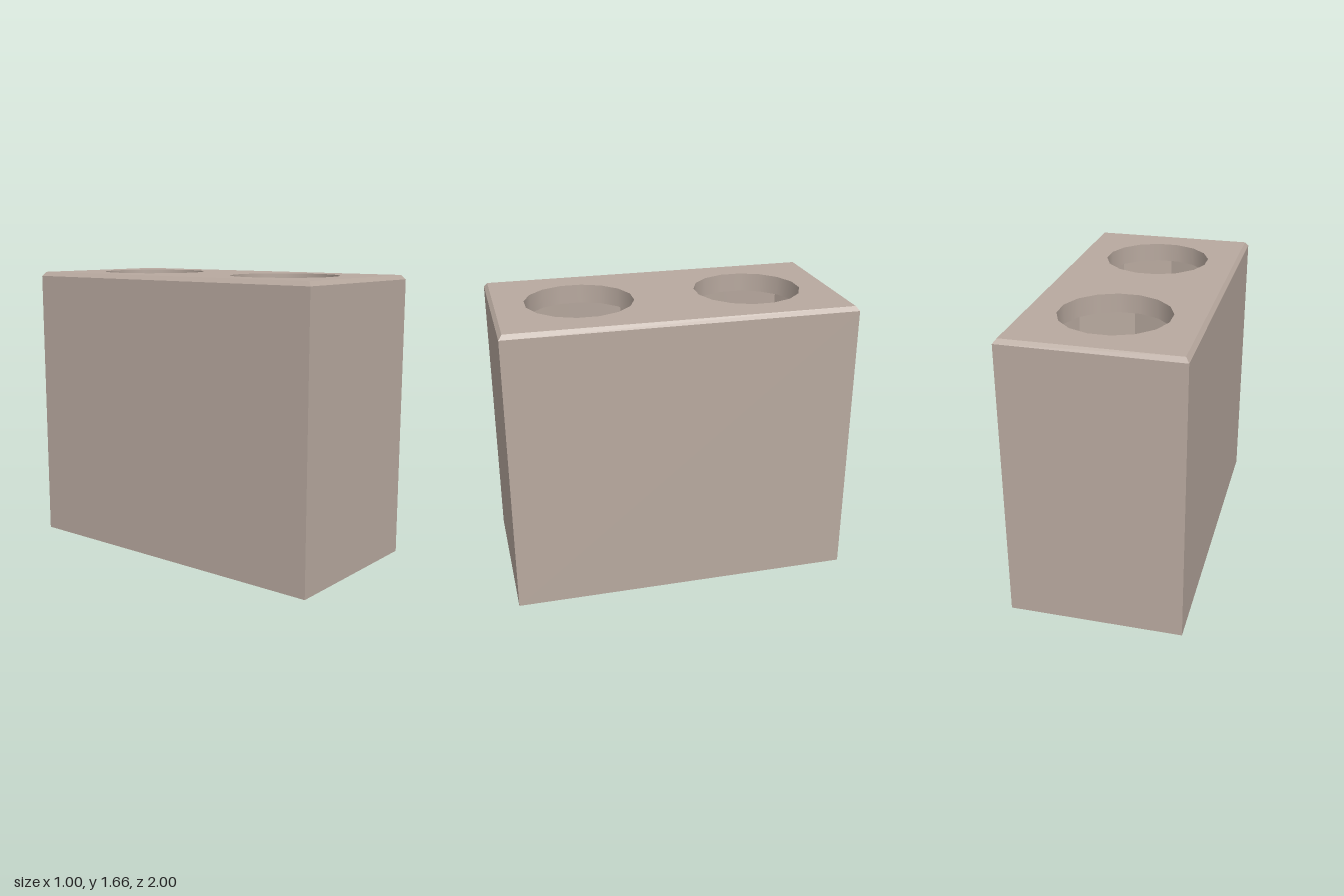
import * as THREE from 'three';

const HEIGHT = 1.665, SHOULDER = 1.64, HALF_X = 0.5, HALF_Z = 1, BEVEL = 0.02;
const MOUTH_R = 0.314, MOUTH_SIDES = 16, LIP = 0.11;
const WELL_R = 0.42, WELL_SIDES = 8, FLOOR = 0.11;
const CENTRES = [-0.5, 0.5];

// Regular polygon outline, turned by start radians from the long axis
function polygon(r, sides, start = 0, cy = 0) {
  return Array.from({ length: sides }, (_, i) => {
    const a = start + (i / sides) * Math.PI * 2;
    return new THREE.Vector2(Math.sin(a) * r, cy + Math.cos(a) * r);
  });
}

// Rectangular ring of corners at height y, anticlockwise seen from above
function ring(y, inset) {
  const x = HALF_X - inset, z = HALF_Z - inset;
  return [[-x, y, z], [x, y, z], [x, y, -z], [-x, y, -z]];
}

// Outer walls and bevel, joined ring to ring, plus the closed underside
function shellGeometry() {
  const rings = [ring(0, 0), ring(SHOULDER, 0), ring(HEIGHT, BEVEL)];
  const points = [];
  const quad = (a, b, c, d) => points.push(...a, ...b, ...c, ...a, ...c, ...d);
  for (let k = 0; k < 2; k++) {
    for (let i = 0; i < 4; i++) {
      const j = (i + 1) % 4;
      quad(rings[k][i], rings[k][j], rings[k + 1][j], rings[k + 1][i]);
    }
  }
  const [a, b, c, d] = rings[0];
  quad(d, c, b, a);
  const geometry = new THREE.BufferGeometry();
  geometry.setAttribute('position', new THREE.Float32BufferAttribute(points, 3));
  geometry.computeVertexNormals();
  return geometry;
}

export function createModel() {
  const group = new THREE.Group();
  group.name = 'twoHoleBlock';
  const color = 0xb8a99f;
  const outside = new THREE.MeshStandardMaterial({ color });
  const mouthInside = new THREE.MeshStandardMaterial({ color, side: THREE.BackSide });
  const wellInside = new THREE.MeshStandardMaterial({ color, side: THREE.BackSide, flatShading: true });

  const add = (parent, name, geometry, material, y = 0) => {
    const mesh = new THREE.Mesh(geometry, material);
    mesh.name = name;
    mesh.position.y = y;
    parent.add(mesh);
  };

  add(group, 'outerShell', shellGeometry(), outside);

  // Top plate with the two round mouths cut out
  const x = HALF_X - BEVEL, z = HALF_Z - BEVEL;
  const plate = new THREE.Shape([[-x, -z], [x, -z], [x, z], [-x, z]].map(p => new THREE.Vector2(...p)));
  const turn = Math.PI / MOUTH_SIDES;
  for (const c of CENTRES) plate.holes.push(new THREE.Path(polygon(MOUTH_R, MOUTH_SIDES, turn, c)));
  add(group, 'topPlate', new THREE.ShapeGeometry(plate).rotateX(-Math.PI / 2), outside, HEIGHT);

  // Each well: round lip opening into a wider eight-sided chamber
  const ceilingY = HEIGHT - LIP, depth = ceilingY - FLOOR;
  for (const c of CENTRES) {
    const well = new THREE.Group();
    well.name = c < 0 ? 'backWell' : 'frontWell';
    well.position.z = c;
    group.add(well);

    add(well, 'mouthLip',
      new THREE.CylinderGeometry(MOUTH_R, MOUTH_R, LIP, MOUTH_SIDES, 1, true, turn), mouthInside, HEIGHT - LIP / 2);
    add(well, 'chamberWall',
      new THREE.CylinderGeometry(WELL_R, WELL_R, depth, WELL_SIDES, 1, true), wellInside, FLOOR + depth / 2);

    const ceiling = new THREE.Shape(polygon(WELL_R, WELL_SIDES));
    ceiling.holes.push(new THREE.Path(polygon(MOUTH_R, MOUTH_SIDES, turn)));
    add(well, 'chamberCeiling', new THREE.ShapeGeometry(ceiling).rotateX(Math.PI / 2), outside, ceilingY);

    const floor = new THREE.Shape(polygon(WELL_R, WELL_SIDES));
    add(well, 'chamberFloor', new THREE.ShapeGeometry(floor).rotateX(-Math.PI / 2), outside, FLOOR);
  }
  return group;
}
